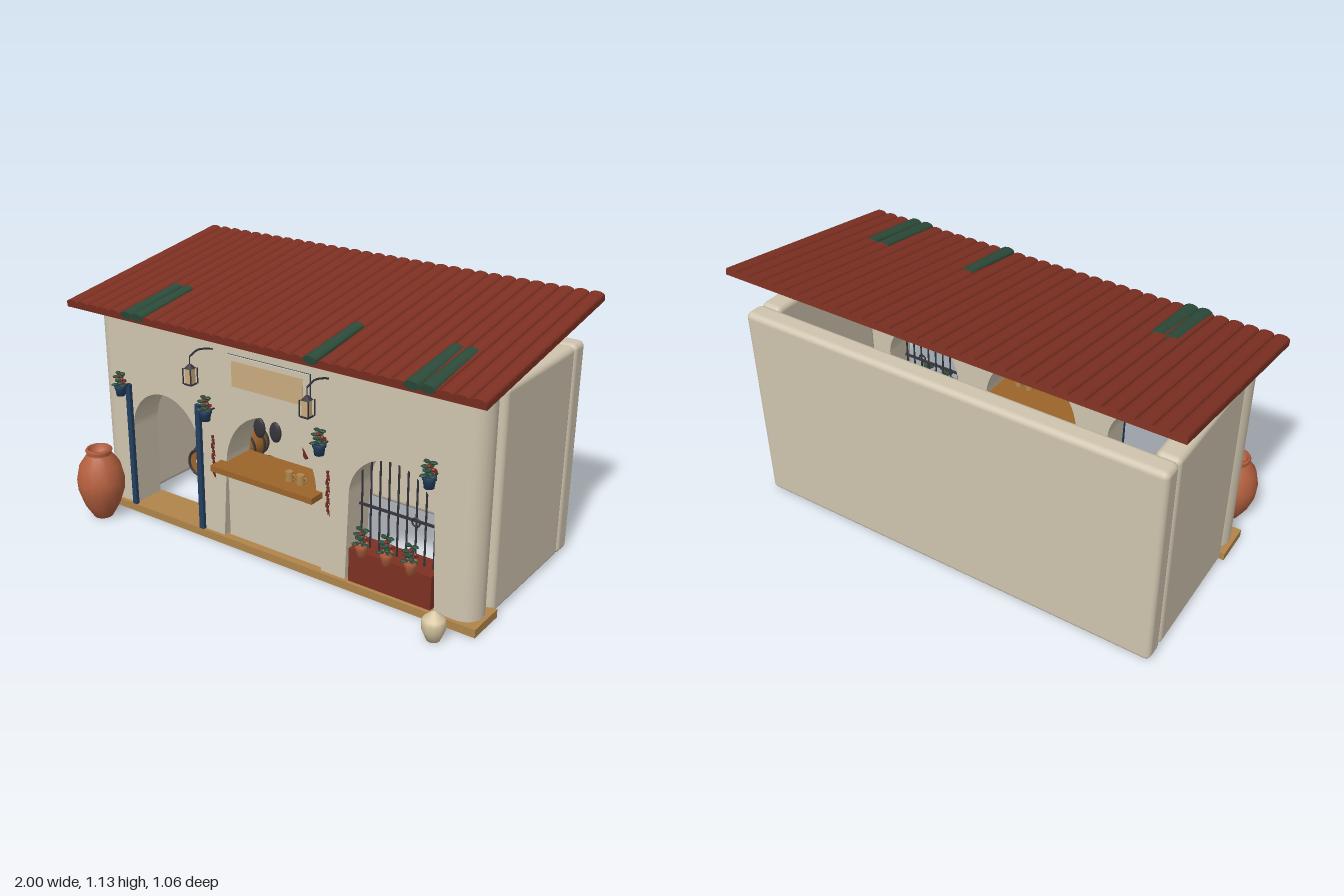
import * as THREE from 'three';
import { RoundedBoxGeometry } from 'three/addons/geometries/RoundedBoxGeometry.js';

const colour = (name, hex, extra = {}) => {
  const m = new THREE.MeshStandardMaterial({ color: hex, ...extra });
  m.name = name;
  return m;
};

export function createModel() {
  const plaster = colour('plaster', 0xcfc4ae);
  const roofRed = colour('roofRed', 0x7d3022);
  const terracotta = colour('terracotta', 0xb5603f);
  const plank = colour('plank', 0xb0854a);
  const wood = colour('wood', 0x9c642a);
  const blue = colour('blue', 0x233f60);
  const green = colour('green', 0x2c4a39);
  const iron = colour('iron', 0x34343a);
  const cream = colour('cream', 0xd6c5a0);
  const tan = colour('tan', 0xc9ab80);

  const model = new THREE.Group();
  model.name = 'tavernStall';
  const add = (name, geo, mat, x = 0, y = 0, z = 0, parent = model) => {
    const m = new THREE.Mesh(geo, mat);
    m.name = name;
    m.position.set(x, y, z);
    parent.add(m);
    return m;
  };
  const group = (name, x = 0, y = 0, z = 0) => {
    const g = new THREE.Group();
    g.name = name;
    g.position.set(x, y, z);
    model.add(g);
    return g;
  };
  const box = (w, h, d) => new THREE.BoxGeometry(w, h, d);
  const cyl = (top, bottom, h, n = 12) => new THREE.CylinderGeometry(top, bottom, h, n);
  const lathe = (pts, n) => new THREE.LatheGeometry(pts.map(p => new THREE.Vector2(...p)), n);

  // Front wall with three arches, flaring slightly towards the ground
  const arches = [
    { cx: -0.572, w: 0.19, base: 0.2, spring: 0.4, top: 0.6 },
    { cx: 0, w: 0.23, base: 0.255, spring: 0.37, top: 0.63 },
    { cx: 0.573, w: 0.19, base: 0.205, spring: 0.41, top: 0.6 },
  ];
  const face = new THREE.Shape();
  face.moveTo(-0.87, 0.005);
  for (const a of arches) {
    face.lineTo(a.cx - a.base, 0.005);
    face.lineTo(a.cx - a.w, a.spring);
    face.absellipse(a.cx, a.spring, a.w, a.top - a.spring, Math.PI, 0, true);
    face.lineTo(a.cx + a.base, 0.005);
  }
  face.lineTo(0.87, 0.005);
  face.lineTo(0.87, 0.93);
  face.lineTo(-0.87, 0.93);
  add('frontWall', new THREE.ExtrudeGeometry(face, { depth: 0.15, bevelEnabled: false, curveSegments: 20 }),
    plaster, 0, 0, 0.155);

  // Rounded wall ends, side walls and back wall; the floor and top stay open
  for (const s of [-1, 1]) {
    add('frontWallEnd', cyl(0.075, 0.075, 0.925, 24), plaster, s * 0.87, 0.4675, 0.23);
    add('sideWall', new RoundedBoxGeometry(0.1, 0.922, 0.58, 3, 0.025), plaster, s * 0.895, 0.466, -0.135);
  }
  add('backWall', new RoundedBoxGeometry(1.89, 0.925, 0.095, 3, 0.025), plaster, 0, 0.4645, -0.4675);
  add('doorSill', box(1.923, 0.035, 0.175), plank, 0, 0.0175, 0.2335);

  // Sloping roof with rows of rounded tiles
  const roof = group('roof', 0, 1.018, -0.057);
  roof.rotation.x = 0.158;
  const length = 0.952;
  add('roofSlab', box(2, 0.022, length), roofRed, 0, 0.011, 0, roof);
  const tileGeo = (front, back, len, height) =>
    cyl(back, front, len, 12).rotateX(-Math.PI / 2).scale(1, height / front, 1);
  const tile = tileGeo(0.03125, 0.03125, length, 0.015);
  for (let i = 0; i < 32; i++) add('roofTile', tile, roofRed, -0.96875 + i * 0.0625, 0.021, 0, roof);
  const oddTile = tileGeo(0.032, 0.027, 0.32, 0.018);
  for (const x of [-0.645, -0.586, 0.282, 0.712, 0.775])
    add('greenTile', oddTile, green, x, 0.027, length / 2 - 0.157, roof);

  // Posts beside the left arch
  for (const x of [-0.77, -0.37]) add('bluePost', box(0.024, 0.575, 0.016), blue, x, 0.3225, 0.313);

  // Stacked barrels
  const barrelGeo = lathe([[0, -0.08], [0.062, -0.08], [0.073, -0.04], [0.077, 0], [0.073, 0.04], [0.062, 0.08],
    [0.062, 0.074], [0, 0.074]], 20);
  for (const [x, y] of [[-0.727, 0.1], [-0.572, 0.1], [-0.417, 0.1], [-0.65, 0.235], [-0.492, 0.235], [-0.572, 0.382]]) {
    const b = group('barrel', x, y, -0.145);
    add('barrelBody', barrelGeo, wood, 0, 0, 0, b).rotation.x = Math.PI / 2;
    for (const [z, r] of [[-0.074, 0.064], [-0.035, 0.074], [0.035, 0.074], [0.074, 0.064]])
      add('barrelHoop', new THREE.TorusGeometry(r, 0.007, 6, 24), iron, 0, 0, z, b);
    add('barrelLabel', box(0.034, 0.018, 0.004), cream, 0, 0.012, 0.077, b);
  }

  // Serving counter with mugs
  add('counterPanel', box(0.475, 0.325, 0.1), plaster, 0, 0.1975, 0.235);
  add('counterLedge', box(0.46, 0.105, 0.01), plaster, 0, 0.305, 0.29);
  add('counterTop', box(0.517, 0.026, 0.22), wood, 0, 0.373, 0.265);
  for (const x of [0.09, 0.145]) {
    add('mug', cyl(0.016, 0.018, 0.04), plank, x, 0.406, 0.295);
    add('mugHandle', new THREE.TorusGeometry(0.011, 0.003, 6, 12), plank, x + 0.019, 0.406, 0.295);
  }

  // Pans and ham hanging in the middle arch
  for (const x of [-0.128, -0.045]) {
    add('hangingPan', new THREE.SphereGeometry(0.03, 14, 10).scale(1, 1.5, 0.4), iron, x, 0.53, 0.21);
    add('panHook', cyl(0.002, 0.002, 0.05, 6), iron, x, 0.59, 0.21);
  }
  const ham = add('hangingHam', lathe([[0, -0.07], [0.012, -0.06], [0.034, 0.02], [0.03, 0.045], [0, 0.065]], 10)
    .scale(1, 1, 0.6), roofRed, 0.135, 0.53, 0.23);
  ham.rotation.z = -0.2;
  add('hamHook', cyl(0.002, 0.002, 0.04, 6), iron, 0.135, 0.605, 0.23);

  // Iron grille in the right arch
  const right = arches[2];
  for (let i = -4; i <= 4; i++) {
    const dx = i * 0.041;
    const top = right.spring + (right.top - right.spring) * Math.sqrt(1 - (dx / right.w) ** 2);
    add('grilleBar', cyl(0.004, 0.004, top - 0.15, 6), iron, right.cx + dx, (top + 0.15) / 2, 0.25);
  }
  add('grilleCrossbar', box(0.35, 0.009, 0.009), iron, right.cx, 0.36, 0.25);
  add('grilleRing', new THREE.TorusGeometry(0.017, 0.004, 6, 16), iron, 0.66, 0.36, 0.262);

  // Potted plants: a spiral of leaves with blossoms between them
  const leaf = new THREE.SphereGeometry(0.013, 6, 5).scale(1.3, 0.5, 0.9);
  const bloom = new THREE.IcosahedronGeometry(0.009, 0);
  const plant = (x, y, z, height, spread) => {
    const g = group('plant', x, y, z);
    add('plantStem', cyl(0.003, 0.004, height, 6), green, 0, height / 2, 0, g);
    for (let i = 0; i < 14; i++) {
      const a = i * 2.4, r = spread * (0.6 + 0.4 * Math.sin(i * 1.7)), h = height * (0.1 + i * 0.065);
      const red = i % 3 === 2;
      add(red ? 'blossom' : 'leaf', red ? bloom : leaf, red ? roofRed : green,
        r * Math.cos(a), h, r * Math.sin(a), g).rotation.y = -a;
    }
  };
  const potGeo = (r, h) => lathe([[0, 0], [r * 0.72, 0], [r * 0.88, h * 0.7], [r, h * 0.7], [r, h], [r * 0.85, h],
    [r * 0.8, h * 0.85], [0, h * 0.85]], 14);
  const wallPot = potGeo(0.027, 0.047), boxPot = potGeo(0.027, 0.052);
  for (const x of [-0.77, -0.288, 0.283, 0.765]) {
    add('wallPot', wallPot, blue, x, 0.574, 0.36);
    add('potBracket', box(0.008, 0.005, 0.04), iron, x, 0.61, 0.32);
    plant(x, 0.612, 0.36, 0.065, 0.022);
  }
  add('planterBox', box(0.375, 0.145, 0.12), roofRed, right.cx, 0.1075, 0.245);
  for (const x of [0.46, 0.573, 0.68]) {
    add('planterPot', boxPot, terracotta, x, 0.18, 0.324);
    plant(x, 0.222, 0.324, 0.075, 0.025);
  }

  // Hanging strings of peppers
  const pepper = new THREE.ConeGeometry(0.007, 0.03, 6).rotateX(Math.PI);
  for (const x of [-0.293, 0.291]) {
    add('pepperString', cyl(0.0015, 0.0015, 0.19, 5), green, x, 0.395, 0.314);
    for (let i = 0; i < 11; i++)
      add('pepper', pepper, roofRed, x + 0.007 * Math.sin(i * 2.1), 0.475 - i * 0.0165, 0.315).rotation.z = 0.5 * Math.sin(i * 2.1);
  }

  // Sign board
  add('signBacking', box(0.41, 0.15, 0.006), blue, 0, 0.79, 0.308);
  add('signBoard', box(0.41, 0.15, 0.008), plaster, 0, 0.79, 0.315);
  add('signPanel', box(0.352, 0.108, 0.004), tan, 0, 0.79, 0.32);

  // Lanterns on curved arms
  for (const x of [-0.287, 0.285]) {
    const g = group('lantern', x, 0, 0);
    const arm = new THREE.CatmullRomCurve3([[0.3, 0.865], [0.35, 0.88], [0.395, 0.886], [0.44, 0.872]]
      .map(([z, y]) => new THREE.Vector3(0, y, z)));
    add('lanternArm', new THREE.TubeGeometry(arm, 16, 0.004, 6), iron, 0, 0, 0, g);
    add('lanternChain', cyl(0.002, 0.002, 0.04, 6), iron, 0, 0.855, 0.44, g);
    add('lanternCap', new THREE.CylinderGeometry(0.006, 0.025, 0.018, 4, 1).rotateY(Math.PI / 4), iron, 0, 0.832, 0.44, g);
    add('lanternGlass', box(0.028, 0.064, 0.028), tan, 0, 0.792, 0.44, g);
    add('lanternBase', box(0.036, 0.006, 0.036), iron, 0, 0.758, 0.44, g);
    for (const sx of [-1, 1]) for (const sz of [-1, 1])
      add('lanternBar', box(0.004, 0.066, 0.004), iron, sx * 0.02, 0.792, 0.44 + sz * 0.02, g);
  }

  // Large jar and small vase by the corners
  add('largeJar', lathe([[0, 0], [0.042, 0], [0.078, 0.06], [0.102, 0.13], [0.105, 0.18], [0.09, 0.25], [0.056, 0.298],
    [0.053, 0.305], [0.06, 0.318], [0.054, 0.327], [0.044, 0.325], [0.042, 0.29], [0, 0.28]], 16), terracotta, -0.86, 0, 0.43);
  add('smallVase', lathe([[0, 0], [0.027, 0], [0.046, 0.045], [0.047, 0.075], [0.042, 0.09], [0.012, 0.116], [0, 0.123]], 12),
    cream, 0.84, 0, 0.415);

  return model;
}
